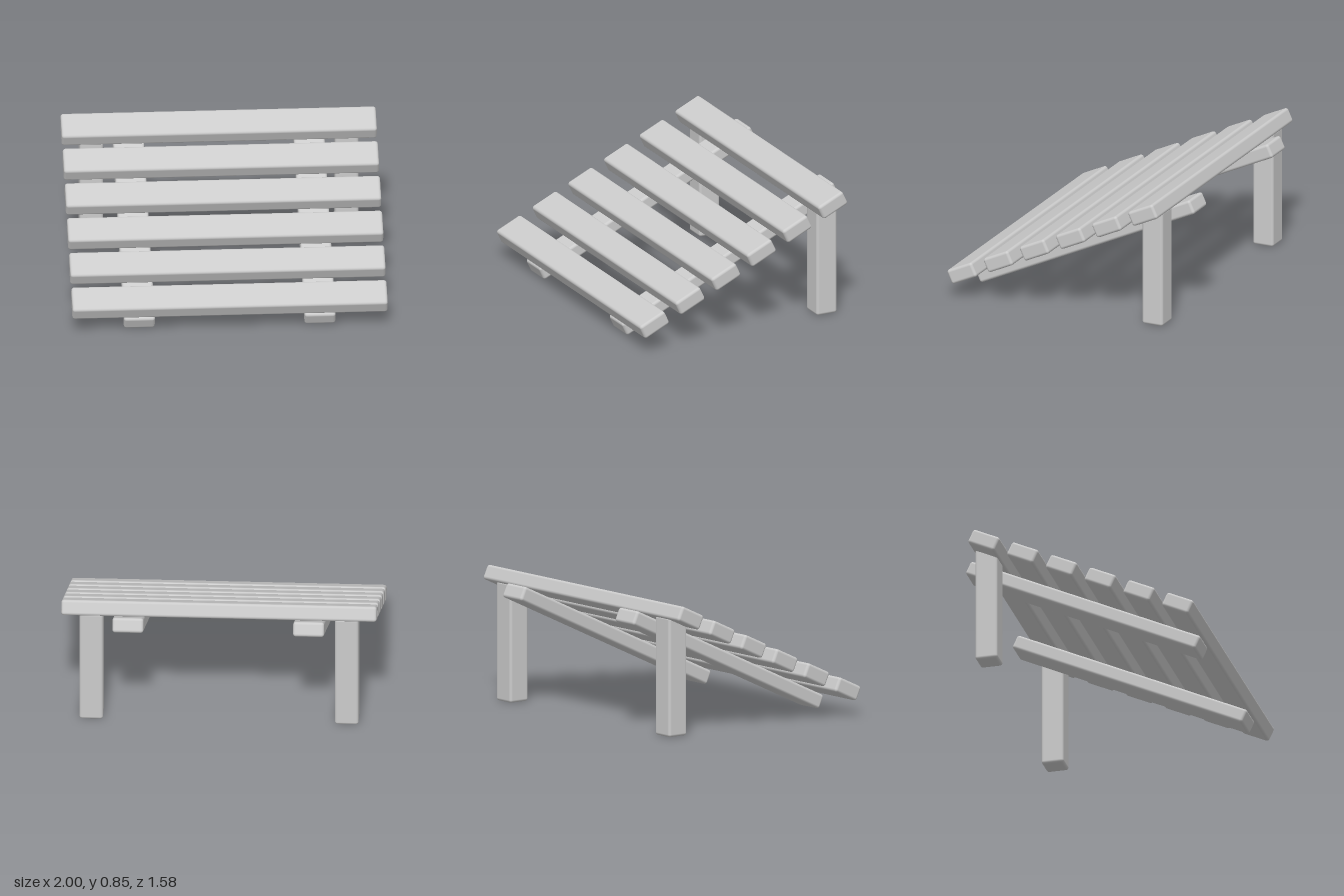
import * as THREE from 'three';
import { RoundedBoxGeometry } from 'three/addons/geometries/RoundedBoxGeometry.js';

const SLOPE = THREE.MathUtils.degToRad(25.1);

export function createModel() {
  const model = new THREE.Group();
  model.name = 'slattedRamp';
  const material = new THREE.MeshStandardMaterial({ color: 0xcccccc });

  // One softly rounded wooden board
  function board(name, size, position, tilt = 0) {
    const mesh = new THREE.Mesh(new RoundedBoxGeometry(...size, 3, 0.018), material);
    mesh.name = name;
    mesh.position.set(...position);
    mesh.rotation.x = tilt;
    model.add(mesh);
  }

  // Six cross slats climbing from front to back
  for (let i = 0; i < 6; i++) {
    board(`slat${i + 1}`, [2, 0.098, 0.193], [0, 0.181 + i * 0.1186, 0.688 - i * 0.2542], SLOPE);
  }

  // Sloping rails under the slats and upright legs at the back, mirrored
  for (const [side, s] of [['left', 1], ['right', -1]]) {
    board(`${side}Rail`, [0.197, 0.094, 1.665], [s * 0.573, 0.4, -0.02], SLOPE);
    board(`${side}BackLeg`, [0.15, 0.77, 0.145], [s * 0.81, 0.385, -0.597]);
  }

  return model;
}
